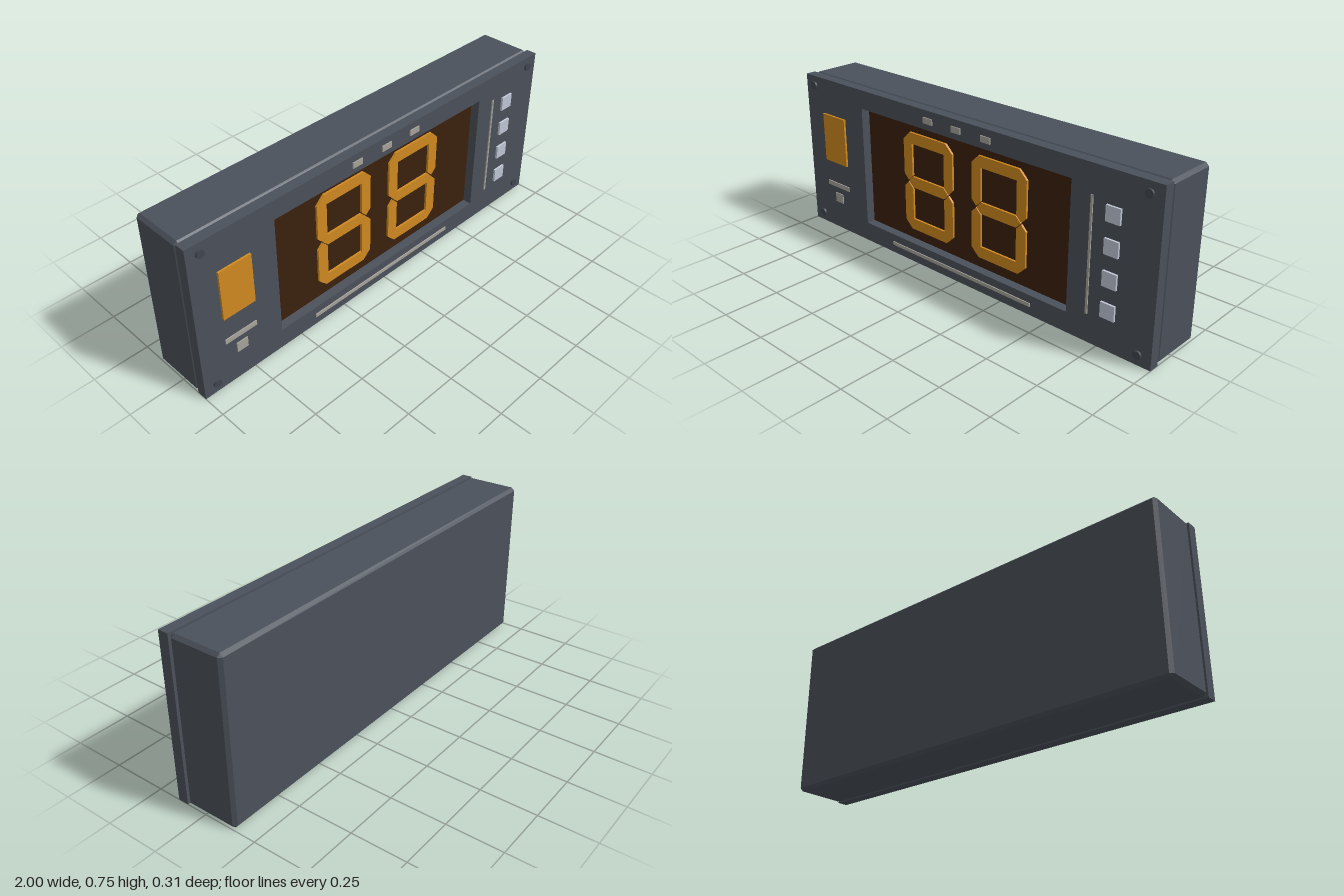
import * as THREE from 'three';
import { ConvexGeometry } from 'three/addons/geometries/ConvexGeometry.js';

const mat = (name, color) => {
  const m = new THREE.MeshStandardMaterial({ color });
  m.name = name;
  return m;
};

// Box with every edge cut at 45 degrees
function chamferBox(w, h, d, c) {
  const pts = [];
  for (const x of [-w / 2, w / 2]) for (const y of [-h / 2, h / 2]) for (const z of [-d / 2, d / 2]) {
    const ix = x - Math.sign(x) * c, iy = y - Math.sign(y) * c, iz = z - Math.sign(z) * c;
    pts.push(new THREE.Vector3(x, iy, iz), new THREE.Vector3(ix, y, iz), new THREE.Vector3(ix, iy, z));
  }
  return new ConvexGeometry(pts);
}

// Pointed bar along x, from -len/2 to len/2
function segmentGeometry(len, thick, depth) {
  const a = len / 2, t = thick / 2;
  const s = new THREE.Shape([[-a, 0], [-a + t, -t], [a - t, -t], [a, 0], [a - t, t], [-a + t, t]]
    .map(([x, y]) => new THREE.Vector2(x, y)));
  return new THREE.ExtrudeGeometry(s, { depth, bevelEnabled: false });
}

export function createModel() {
  const model = new THREE.Group();
  model.name = 'displayPanel';
  const casing = mat('slate casing', 0x4b515b);
  const screwMat = mat('dark screw', 0x41464f);
  const screenMat = mat('brown screen', 0x3b200c);
  const amber = mat('amber', 0xd08a20);
  const marking = mat('grey marking', 0xa8a49c);
  const buttonMat = mat('pale button', 0xbfc7d6);

  const add = (name, geo, m, x, y, z, parent = model) => {
    const mesh = new THREE.Mesh(geo, m);
    mesh.name = name;
    mesh.position.set(x, y, z);
    parent.add(mesh);
    return mesh;
  };
  const FACE = 0.145; // front of the bezel
  const plate = (name, m, x0, x1, y0, y1, h) =>
    add(name, new THREE.BoxGeometry(x1 - x0, y1 - y0, h), m, (x0 + x1) / 2, (y0 + y1) / 2, FACE + h / 2);

  // Chamfered rear housing
  add('housing', chamferBox(1.996, 0.75, 0.25, 0.014), casing, 0, 0.375, -0.028);

  // Front bezel with the display opening
  const rect = (S, x0, x1, y0, y1) => new S([[x0, y0], [x1, y0], [x1, y1], [x0, y1]]
    .map(([x, y]) => new THREE.Vector2(x, y)));
  const outline = rect(THREE.Shape, -1, 1, 0, 0.75);
  outline.holes.push(rect(THREE.Path, -0.602, 0.598, 0.092, 0.662));
  add('bezel', new THREE.ExtrudeGeometry(outline, { depth: 0.048, bevelEnabled: false }), casing, 0, 0, 0.097);

  // Recessed screen
  add('screen', new THREE.BoxGeometry(1.2, 0.57, 0.008), screenMat, -0.002, 0.377, 0.099);

  // Two seven-segment digits
  const across = segmentGeometry(0.274, 0.052, 0.01);
  const middle = segmentGeometry(0.246, 0.052, 0.01);
  const upright = segmentGeometry(0.217, 0.052, 0.01);
  for (const x of [-0.21, 0.205]) {
    const digit = new THREE.Group();
    digit.name = 'digit';
    digit.position.set(x, 0.377, 0.103);
    model.add(digit);
    add('middleSegment', middle, amber, 0, 0, 0, digit);
    for (const v of [-1, 1]) {
      add('crossSegment', across, amber, 0, v * 0.208, 0, digit);
      for (const u of [-1, 1])
        add('uprightSegment', upright, amber, u * 0.125, v * 0.1125, 0, digit).rotation.z = Math.PI / 2;
    }
  }

  // Indicator lamp and buttons
  plate('indicatorLamp', amber, -0.88, -0.727, 0.346, 0.58, 0.0098);
  for (let i = 0; i < 4; i++) {
    const y = 0.176 + i * 0.1337;
    plate('button', buttonMat, 0.764, 0.83, y - 0.033, y + 0.033, 0.0098);
  }

  // Printed markings
  for (const x of [-0.168, -0.002, 0.164]) plate('topMark', marking, x - 0.027, x + 0.027, 0.691, 0.718, 0.005);
  plate('bottomBar', marking, -0.418, 0.414, 0.04, 0.056, 0.005);
  plate('dividerLine', marking, 0.692, 0.702, 0.126, 0.626, 0.005);
  plate('lampLabel', marking, -0.88, -0.727, 0.216, 0.238, 0.005);
  plate('smallMark', marking, -0.83, -0.777, 0.138, 0.184, 0.005);

  // Corner screws
  const screw = new THREE.CylinderGeometry(0.018, 0.018, 0.01, 16).rotateX(Math.PI / 2);
  for (const x of [-0.94, 0.94]) for (const y of [0.047, 0.704])
    add('screw', screw, screwMat, x, y, FACE + 0.005);

  return model;
}
